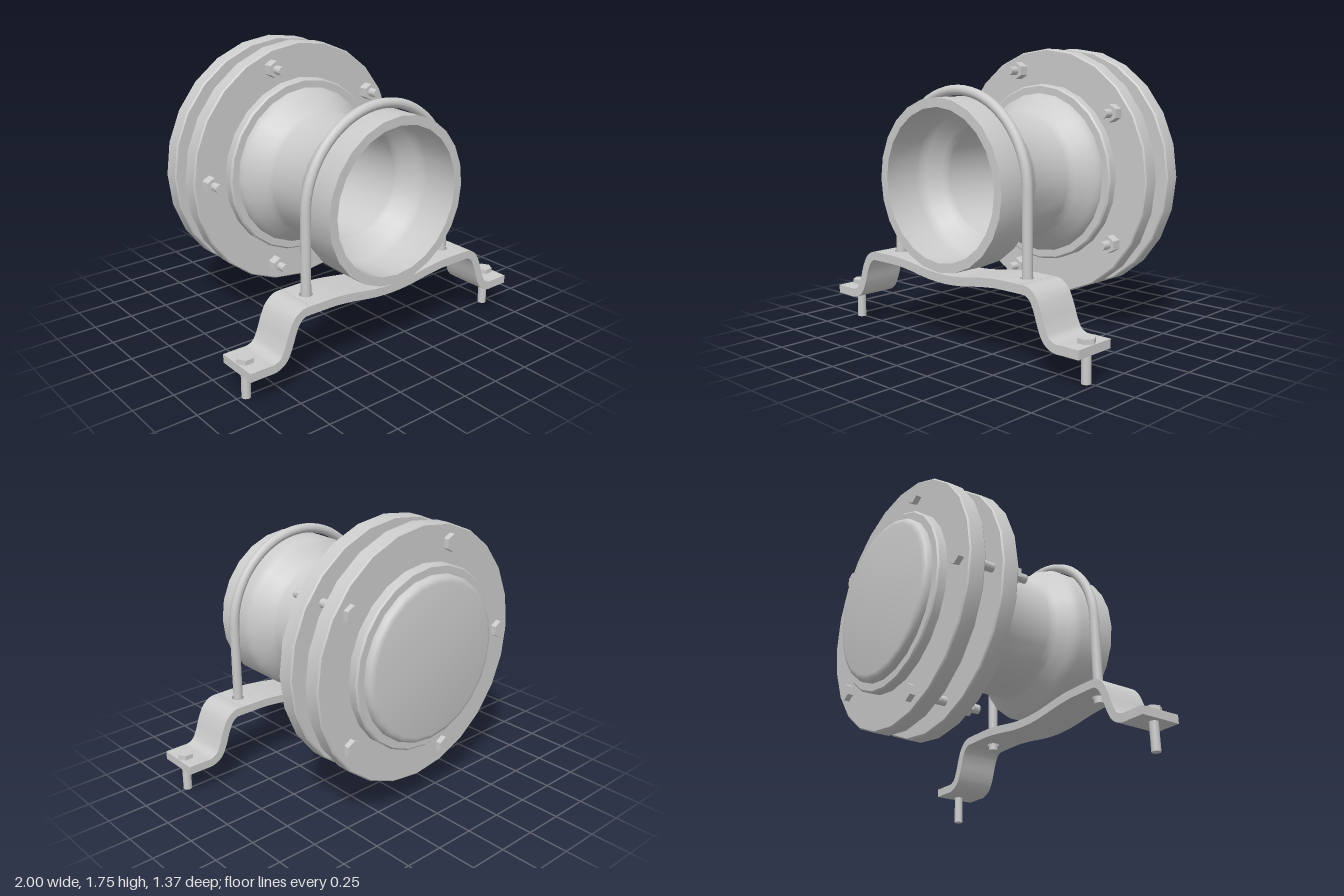
import * as THREE from 'three';
import { toCreasedNormals } from 'three/addons/utils/BufferGeometryUtils.js';

const AXIS_Y = 0.97; // height of the pipe axis
const SADDLE_Z = 0.51; // depth of the strap and U-bolt

const material = new THREE.MeshStandardMaterial({ color: 0xcccccc });

function add(parent, name, geometry, x = 0, y = 0, z = 0) {
  const mesh = new THREE.Mesh(geometry, material);
  mesh.name = name;
  mesh.position.set(x, y, z);
  parent.add(mesh);
  return mesh;
}

// Lathe around the z axis; profile is [radius, z], counterclockwise
function turned(profile) {
  const points = profile.map(([r, z]) => new THREE.Vector2(r, z));
  const geometry = new THREE.LatheGeometry(points, 24).rotateX(Math.PI / 2);
  return toCreasedNormals(geometry, 0.6);
}

// Closed ring with small chamfers on the outer corners
function ring(inner, outer, z0, z1, c) {
  return turned([
    [inner, z0], [outer - c, z0], [outer, z0 + c], [outer, z1 - c],
    [outer - c, z1], [inner, z1], [inner, z0],
  ]);
}

const rod = (r, length) => new THREE.CylinderGeometry(r, r, length, 16);
const hex = (r, height) => toCreasedNormals(new THREE.CylinderGeometry(r, r, height, 6), 0.6);

function createPipe(group) {
  // Outer wall from back to front, necked in the middle
  const outer = [
    [0.5, -0.6], [0.5, -0.19], [0.495, -0.17], [0.482, -0.145], [0.462, -0.12],
    [0.41, -0.05], [0.393, -0.025], [0.386, 0],
    [0.386, 0.27], [0.393, 0.295], [0.41, 0.32],
    [0.462, 0.375], [0.482, 0.4], [0.495, 0.425], [0.5, 0.45], [0.5, 0.68],
  ];
  // Bore from front to back
  const bore = [
    [0.445, 0.68], [0.445, 0.45], [0.437, 0.42], [0.42, 0.39],
    [0.36, 0.32], [0.342, 0.295], [0.335, 0.27], [0.335, -0.6], [0.5, -0.6],
  ];
  add(group, 'pipe', turned([...outer, ...bore]), 0, AXIS_Y);
  add(group, 'collar', ring(0.49, 0.555, -0.635, -0.19, 0.01), 0, AXIS_Y);
  add(group, 'endCap', turned([
    [0, -0.685], [0.46, -0.685], [0.478, -0.681], [0.49, -0.672], [0.498, -0.658],
    [0.5, -0.64], [0.5, -0.59], [0, -0.59],
  ]), 0, AXIS_Y);
  add(group, 'frontFlange', ring(0.54, 0.775, -0.355, -0.25, 0.008), 0, AXIS_Y);
  add(group, 'backFlange', ring(0.54, 0.775, -0.575, -0.47, 0.008), 0, AXIS_Y);
}

function createFlangeBolts(group) {
  for (let i = 0; i < 5; i++) {
    const a = Math.PI + (i * Math.PI * 2) / 5;
    const bolt = new THREE.Group();
    bolt.name = 'flangeBolt';
    bolt.position.set(0.67 * Math.cos(a), AXIS_Y + 0.67 * Math.sin(a), 0);
    add(bolt, 'shaft', rod(0.027, 0.465).rotateX(Math.PI / 2), 0, 0, -0.3625);
    add(bolt, 'nut', hex(0.054, 0.06).rotateX(Math.PI / 2), 0, 0, -0.22);
    add(bolt, 'head', hex(0.054, 0.035).rotateX(Math.PI / 2), 0, 0, -0.5925);
    group.add(bolt);
  }
}

// Strip of constant thickness swept along a centre line, extruded in z
function strip(points, thickness, width, steps) {
  const curve = new THREE.CatmullRomCurve3(
    points.map(([x, y]) => new THREE.Vector3(x, y, 0)), false, 'centripetal');
  const upper = [];
  const lower = [];
  for (let i = 0; i <= steps; i++) {
    const p = curve.getPoint(i / steps);
    const t = curve.getTangent(i / steps);
    const nx = (-t.y * thickness) / 2;
    const ny = (t.x * thickness) / 2;
    upper.push(new THREE.Vector2(p.x + nx, p.y + ny));
    lower.unshift(new THREE.Vector2(p.x - nx, p.y - ny));
  }
  const geometry = new THREE.ExtrudeGeometry(new THREE.Shape([...upper, ...lower]), {
    depth: width, bevelEnabled: false,
  });
  return toCreasedNormals(geometry.translate(0, 0, -width / 2), 0.6);
}

function createStrap(group) {
  const width = 0.27;
  const thick = 0.052;
  const strap = new THREE.Group();
  strap.name = 'strap';
  strap.position.z = SADDLE_Z;

  // Dipped middle under the pipe
  add(strap, 'saddle', strip([
    [-0.46, 0.47], [-0.4, 0.468], [-0.28, 0.455], [-0.13, 0.433], [0, 0.426],
    [0.13, 0.433], [0.28, 0.455], [0.4, 0.468], [0.46, 0.47],
  ], thick, width, 32));

  // Flat pad with a clearance hole for the U-bolt leg
  const pad = new THREE.Shape();
  pad.moveTo(-0.07, -width / 2);
  pad.lineTo(0.07, -width / 2);
  pad.lineTo(0.07, width / 2);
  pad.lineTo(-0.07, width / 2);
  pad.closePath();
  const hole = new THREE.Path();
  hole.absarc(0, 0, 0.04, 0, Math.PI * 2, true);
  pad.holes.push(hole);
  const padGeometry = toCreasedNormals(
    new THREE.ExtrudeGeometry(pad, { depth: thick, bevelEnabled: false, curveSegments: 10 })
      .rotateX(-Math.PI / 2), 0.6);

  // S-shaped foot
  const foot = strip([
    [0.6, 0.47], [0.645, 0.466], [0.688, 0.435], [0.72, 0.375], [0.752, 0.285],
    [0.785, 0.225], [0.835, 0.198], [0.9, 0.197], [1, 0.197],
  ], thick, width, 32);

  for (const side of [1, -1]) {
    add(strap, 'boltPad', padGeometry, side * 0.53, 0.47 - thick / 2);
    const footMesh = add(strap, 'foot', foot);
    if (side < 0) footMesh.rotation.y = Math.PI;

    const bolt = new THREE.Group();
    bolt.name = 'footBolt';
    bolt.position.x = side * 0.945;
    add(bolt, 'shaft', rod(0.027, 0.23), 0, 0.115);
    add(bolt, 'head', hex(0.053, 0.032).rotateY(Math.PI / 2), 0, 0.236);
    strap.add(bolt);
  }
  group.add(strap);
}

function createUBolt(group) {
  const uBolt = new THREE.Group();
  uBolt.name = 'uBolt';
  uBolt.position.z = SADDLE_Z;
  const r = 0.53;
  const arc = new THREE.TorusGeometry(r, 0.03, 12, 32, Math.PI);
  arc.scale(1, (AXIS_Y + r + 0.005 - AXIS_Y) / r, 1);
  add(uBolt, 'arch', arc, 0, AXIS_Y);
  for (const side of [1, -1]) {
    add(uBolt, 'leg', rod(0.03, AXIS_Y - 0.405), side * r, (AXIS_Y + 0.405) / 2);
  }
  group.add(uBolt);
}

export function createModel() {
  const group = new THREE.Group();
  group.name = 'pipeCoupling';
  createPipe(group);
  createFlangeBolts(group);
  createStrap(group);
  createUBolt(group);
  return group;
}
